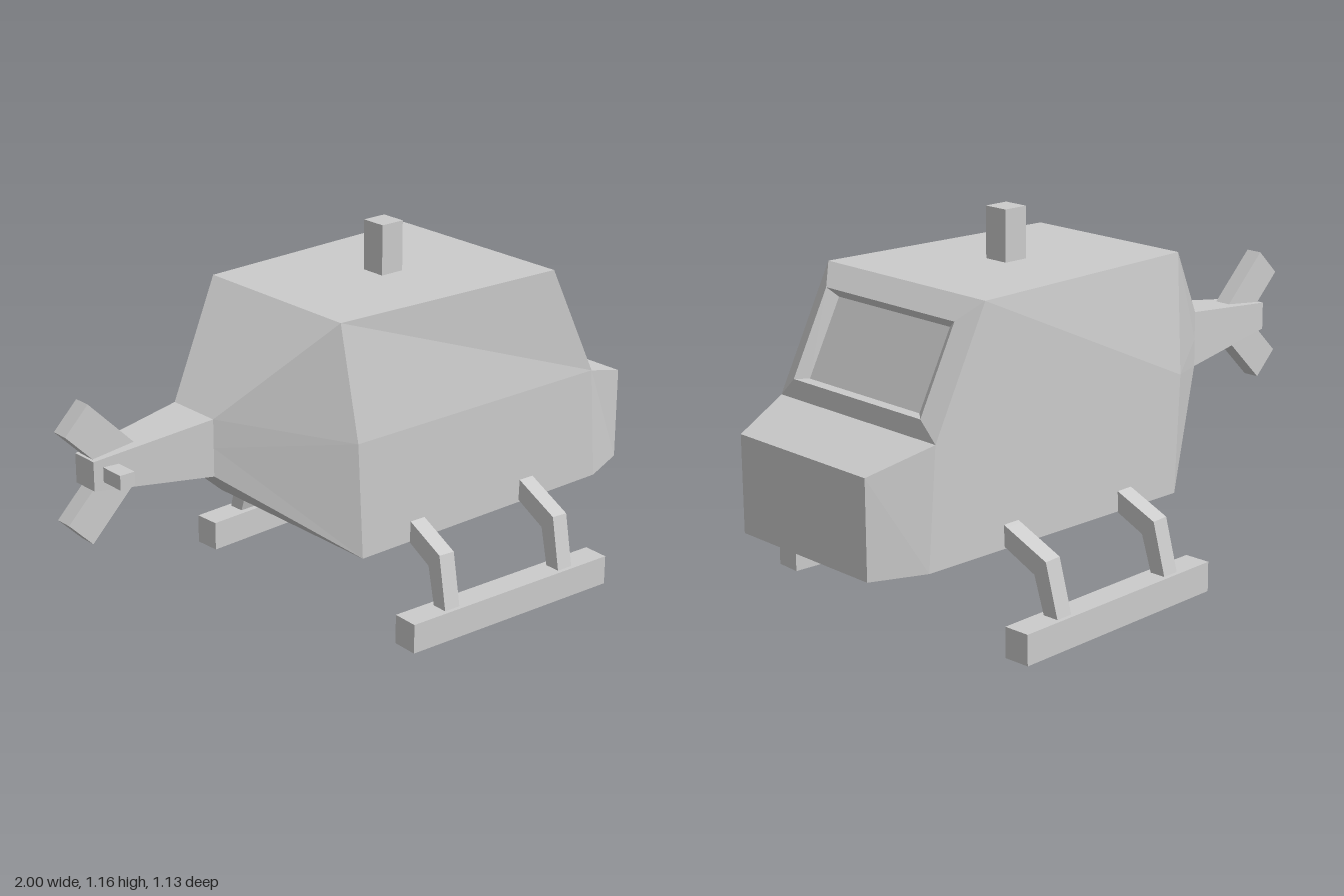
import * as THREE from 'three';

const material = new THREE.MeshStandardMaterial({ color: 0xcccccc, flatShading: true });

// Closed loop from the points of its +z half, mirrored to -z.
const ring = (half) => [...half, ...half.map(([x, y, z]) => [x, y, -z]).reverse()];

// Skin over successive loops (each further along +x), with optional end caps.
function loft(rings, capStart, capEnd) {
  const pos = [];
  const tri = (a, b, c) => pos.push(...a, ...b, ...c);
  for (let r = 0; r < rings.length - 1; r++) {
    const a = rings[r], b = rings[r + 1], n = a.length;
    for (let i = 0; i < n; i++) {
      const j = (i + 1) % n;
      tri(a[i], a[j], b[j]);
      tri(a[i], b[j], b[i]);
    }
  }
  const cap = (p) => { for (let i = 1; i < p.length - 1; i++) tri(p[0], p[i], p[i + 1]); };
  if (capStart) cap([...rings[0]].reverse());
  if (capEnd) cap(rings[rings.length - 1]);
  const geo = new THREE.BufferGeometry();
  geo.setAttribute('position', new THREE.Float32BufferAttribute(pos, 3));
  geo.computeVertexNormals();
  return geo;
}

function add(parent, name, geo, x = 0, y = 0, z = 0) {
  const mesh = new THREE.Mesh(geo, material);
  mesh.name = name;
  mesh.position.set(x, y, z);
  parent.add(mesh);
  return mesh;
}

export function createModel() {
  const model = new THREE.Group();
  model.name = 'helicopter';

  // Cabin and tail boom: top, middle and bottom point of each section
  const roofFront = [0.61, 1.005, 0.345];
  const cowl = [0.8, 0.63, 0.345];
  const chin = [0.83, 0.26, 0.345];
  add(model, 'cabinAndTailBoom', loft([
    ring([[-0.92, 0.68, 0.045], [-0.92, 0.635, 0.045], [-0.92, 0.59, 0.045]]),
    ring([[-0.53, 0.725, 0.093], [-0.53, 0.635, 0.093], [-0.53, 0.545, 0.093]]),
    ring([[-0.22, 1.005, 0.3], [-0.19, 0.635, 0.345], [-0.17, 0.26, 0.345]]),
    ring([roofFront, cowl, chin]),
  ], true, false));

  // Tapered nose
  add(model, 'nose', loft([
    ring([cowl, chin]),
    ring([[1, 0.565, 0.28], [1, 0.262, 0.28]]),
  ], false, true));

  // Raised windshield frame with a recessed pane
  add(model, 'windshield', loft([
    ring([roofFront, cowl]),
    ring([[0.67, 0.945, 0.283], [0.8, 0.69, 0.283]]),
    ring([[0.653, 0.92, 0.245], [0.77, 0.693, 0.245]]),
  ], false, true));

  // Rotor mast and tail rotor hub
  add(model, 'rotorMast', new THREE.BoxGeometry(0.083, 0.18, 0.085), 0.21, 1.075, 0);
  add(model, 'tailRotorHub', new THREE.BoxGeometry(0.05, 0.045, 0.11), -0.865, 0.635, 0.076);

  // Swept tail fins
  for (const s of [1, -1]) {
    const fin = add(model, s > 0 ? 'upperTailFin' : 'lowerTailFin',
      new THREE.BoxGeometry(0.226, 0.113, 0.056), -0.88, 0.635 + s * 0.095, 0);
    fin.rotation.z = -s * Math.PI / 4;
  }

  // Landing gear: toed-out skid with two bent struts per side
  for (const s of [1, -1]) {
    const gear = new THREE.Group();
    gear.name = s > 0 ? 'landingGearNear' : 'landingGearFar';
    gear.position.set(0.27, 0, s * 0.504);
    gear.rotation.y = -s * 0.045;
    add(gear, 'skid', new THREE.BoxGeometry(0.79, 0.095, 0.087), 0, 0.0475, 0);

    const outline = [[-0.2, 0.348], [-0.159, 0.33], [-0.009, 0.262], [0.031, 0.09],
      [-0.022, 0.09], [-0.056, 0.212], [-0.159, 0.262], [-0.2, 0.282]];
    const shape = new THREE.Shape(outline.map(([z, y]) => new THREE.Vector2(s * z, y - 0.21)));
    const strutGeo = new THREE.ExtrudeGeometry(shape, { depth: 0.057, bevelEnabled: false });
    strutGeo.translate(0, 0, -0.0285).rotateY(-Math.PI / 2);
    for (const [name, x] of [['rearStrut', -0.23], ['frontStrut', 0.235]]) {
      add(gear, name, strutGeo, x, 0.21, 0).rotation.z = -0.04;
    }
    model.add(gear);
  }

  return model;
}
